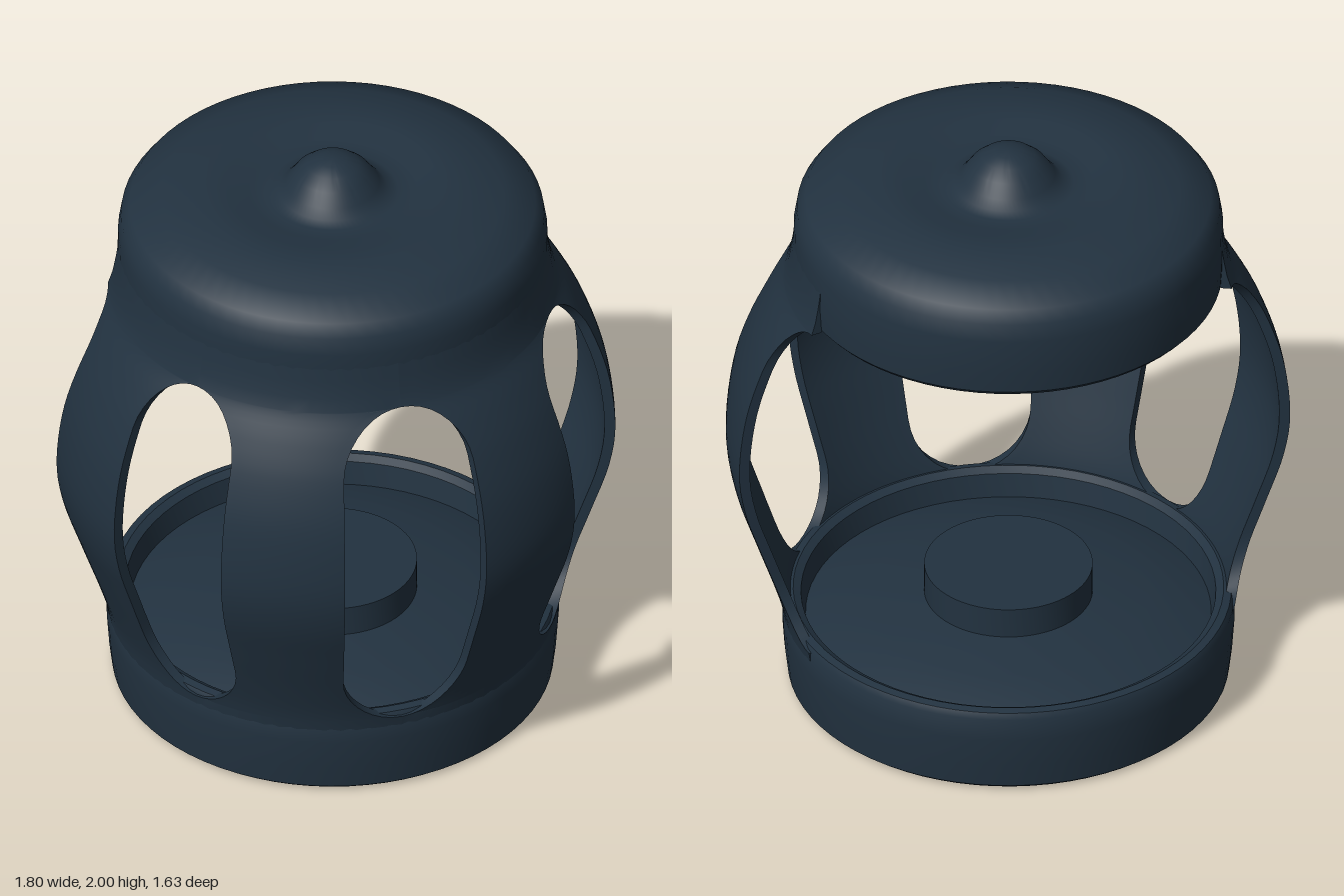
import * as THREE from 'three';
import { toCreasedNormals } from 'three/addons/utils/BufferGeometryUtils.js';

const AXIS_Z = -0.09;               // the cage axis sits a little behind the origin
const HOLE_LOW = 0.285, HOLE_HIGH = 1.515, ARCH = 0.2;

const vecs = (pts) => pts.map(([x, y]) => new THREE.Vector2(x, y));

// Bulging outer wall: radius as a function of height
const wall = new THREE.SplineCurve(vecs([
  [0.715, 0.18], [0.733, 0.3], [0.768, 0.42], [0.83, 0.6], [0.885, 0.77], [0.906, 0.93],
  [0.885, 1.13], [0.833, 1.3], [0.775, 1.42], [0.718, 1.52], [0.695, 1.62], [0.684, 1.7],
])).getPoints(120);

function wallRadius(y) {
  let i = 1;
  while (i < wall.length - 1 && wall[i].y < y) i++;
  const a = wall[i - 1], b = wall[i];
  return THREE.MathUtils.lerp(a.x, b.x, THREE.MathUtils.clamp((y - a.y) / (b.y - a.y), 0, 1));
}

// Share of the gap that is open at height y: 0 at the arch tops, 1 along the sides
function openness(y) {
  const u = THREE.MathUtils.clamp(Math.min(y - HOLE_LOW, HOLE_HIGH - y) / ARCH, 0, 1);
  return Math.sqrt(1 - (1 - u) ** 2);
}

// Row heights, packed more closely where the arches curve
function rowHeights() {
  const ys = [0.18, 0.23];
  const n = 9;
  for (let i = 0; i <= n; i++) ys.push(HOLE_LOW + ARCH * (1 - Math.cos((i / n) * Math.PI / 2)));
  for (let i = 1; i < 20; i++) ys.push(THREE.MathUtils.lerp(HOLE_LOW + ARCH, HOLE_HIGH - ARCH, i / 20));
  for (let i = n; i >= 0; i--) ys.push(HOLE_HIGH - ARCH * (1 - Math.cos((i / n) * Math.PI / 2)));
  return ys.concat([1.56, 1.62, 1.7]);
}

// A curved rib between two angles (degrees), flaring by flareA and flareB at its ends
function ribGeometry(from, to, flareA, flareB) {
  const seg = 14, loop = 2 * (seg + 1), positions = [], index = [];
  const ys = rowHeights();
  ys.forEach((y, j) => {
    const shut = 1 - openness(y);
    const a = from - flareA * shut, b = to + flareB * shut;
    const r = wallRadius(y);
    for (let i = 0; i < loop; i++) {
      const outer = i <= seg;
      const t = outer ? i / seg : (loop - 1 - i) / seg;
      const angle = THREE.MathUtils.degToRad(THREE.MathUtils.lerp(a, b, t));
      const radius = outer ? r : r - 0.035;
      positions.push(radius * Math.cos(angle), y, radius * Math.sin(angle));
      if (j < ys.length - 1) {
        const p = j * loop + i, q = j * loop + (i + 1) % loop;
        index.push(p, p + loop, q, q, p + loop, q + loop);
      }
    }
  });
  const geometry = new THREE.BufferGeometry();
  geometry.setAttribute('position', new THREE.Float32BufferAttribute(positions, 3));
  geometry.setIndex(index);
  geometry.computeVertexNormals();
  return toCreasedNormals(geometry, 0.7);
}

const lathe = (pts) => toCreasedNormals(new THREE.LatheGeometry(vecs(pts), 72), 0.6);

export function createModel() {
  const model = new THREE.Group();
  model.name = 'cageLantern';
  const material = new THREE.MeshStandardMaterial({ color: 0x223240 });
  const add = (name, geometry) => {
    const mesh = new THREE.Mesh(geometry, material);
    mesh.name = name;
    mesh.position.z = AXIS_Z;
    model.add(mesh);
    return mesh;
  };

  // Base: rim, domed floor and raised disc, hollow underneath
  add('base', lathe([
    [0, 0.36], [0.25, 0.36], [0.25, 0.26], [0.45, 0.235], [0.57, 0.2], [0.63, 0.16], [0.64, 0.012],
    [0.655, 0], [0.69, 0], [0.708, 0.015], [0.718, 0.1], [0.725, 0.2], [0.725, 0.28], [0.715, 0.3],
    [0.69, 0.305], [0.665, 0.29], [0.65, 0.21], [0.58, 0.235], [0.45, 0.27], [0.27, 0.293],
    [0.27, 0.398], [0, 0.398],
  ]));

  // Cap: dished ceiling, rounded wall, and a top with a shallow groove around the finial
  add('cap', lathe([
    [0, 1.385], [0.2, 1.385], [0.33, 1.395], [0.45, 1.43], [0.54, 1.48], [0.61, 1.54], [0.635, 1.515],
    [0.67, 1.508], [0.685, 1.525], [0.69, 1.6], [0.688, 1.72], [0.678, 1.78], [0.65, 1.82],
    [0.55, 1.865], [0.42, 1.89], [0.34, 1.888], [0.27, 1.872], [0.21, 1.868], [0.175, 1.878],
    [0.15, 1.905], [0.12, 1.948], [0.085, 1.978], [0.045, 1.995], [0, 2],
  ]));

  // Small boss hanging from the ceiling
  const boss = add('ceilingBoss', new THREE.CylinderGeometry(0.135, 0.135, 0.13, 40));
  boss.position.y = 1.345;

  // Four ribs; neighbours meet halfway across each gap, the back stays open
  const ribs = [[-21.4, 4.5], [35.5, 61.4], [91.9, 117.7], [145, 172]];
  ribs.forEach(([from, to], i) => {
    const flareA = i > 0 ? (from - ribs[i - 1][1]) / 2 : 11;
    const flareB = i < ribs.length - 1 ? (ribs[i + 1][0] - to) / 2 : 11;
    add(`rib${i + 1}`, ribGeometry(from, to, flareA, flareB));
  });

  return model;
}
